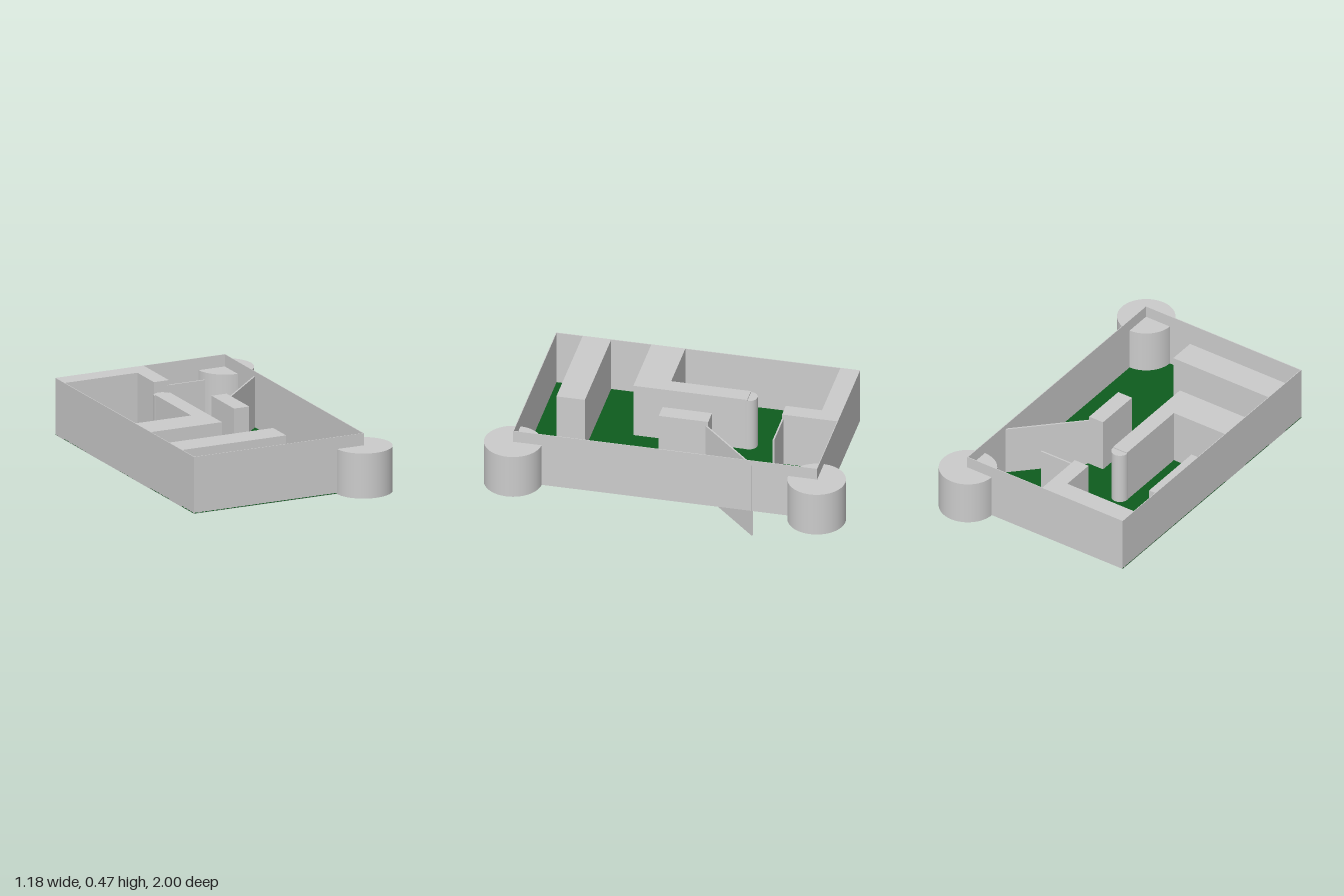
import * as THREE from 'three';

export function createModel() {
  const model = new THREE.Group();
  const grey = new THREE.MeshStandardMaterial({ color: 0xcccccc });
  const green = new THREE.MeshStandardMaterial({ color: 0x0e5c1e });

  const add = (name, geometry, x, y, z, material = grey) => {
    const mesh = new THREE.Mesh(geometry, material);
    mesh.name = name;
    mesh.position.set(x, y, z);
    model.add(mesh);
    return mesh;
  };
  // Box given by its limits on each axis
  const block = (name, [x0, x1], [y0, y1], [z0, z1], material) =>
    add(name, new THREE.BoxGeometry(x1 - x0, y1 - y0, z1 - z0),
      (x0 + x1) / 2, (y0 + y1) / 2, (z0 + z1) / 2, material);

  const left = -0.59, right = 0.432, back = -0.845, front = 0.838;
  const base = 0.158, top = 0.478, t = 0.004;
  const tall = [base, top];

  // Green floor
  block('floor', [left, right], [0.16, 0.164], [back, front], green);

  // Thin outer walls
  block('backWall', [left, right], tall, [back, back + t]);
  block('frontWall', [left, right], tall, [front - t, front]);
  for (const x of [left, right - t]) block('sideWall', [x, x + t], tall, [back, front]);

  // Round corner posts
  for (const z of [-0.842, 0.838])
    add('cornerPost', new THREE.CylinderGeometry(0.158, 0.158, 0.253, 64), 0.429, 0.2835, z);

  // Front bar
  block('frontBar', [left, 0.038], tall, [0.532, 0.69]);

  // Bent barrier with a rounded end
  block('barrierBase', [left, -0.16], tall, [0.122, 0.31]);
  block('barrierArm', [-0.252, -0.16], tall, [-0.32, 0.122]);
  add('barrierEnd', new THREE.CylinderGeometry(0.047, 0.047, 0.377, 48), -0.206, 0.2835, -0.32);

  // Low step behind the barrier
  block('lowStep', [-0.46, -0.368], [0.165, 0.25], [-0.278, 0.122]);

  // Bent block in the back corner
  block('backLedge', [left, -0.15], tall, [back, -0.736]);
  block('backLedgeArm', [-0.15, -0.06], tall, [back, -0.536]);

  // Free-standing block
  block('centerBlock', [0.013, 0.104], tall, [-0.166, 0.108]);

  // Thin plates passing through the floor
  block('straightPlate', [-0.095, 0.158], [0.003, 0.45], [-0.544, -0.535]);
  const diagonal = add('diagonalPlate', new THREE.BoxGeometry(0.509, 0.447, 0.009), 0.252, 0.2265, -0.306);
  diagonal.rotation.y = Math.PI / 4;

  return model;
}
